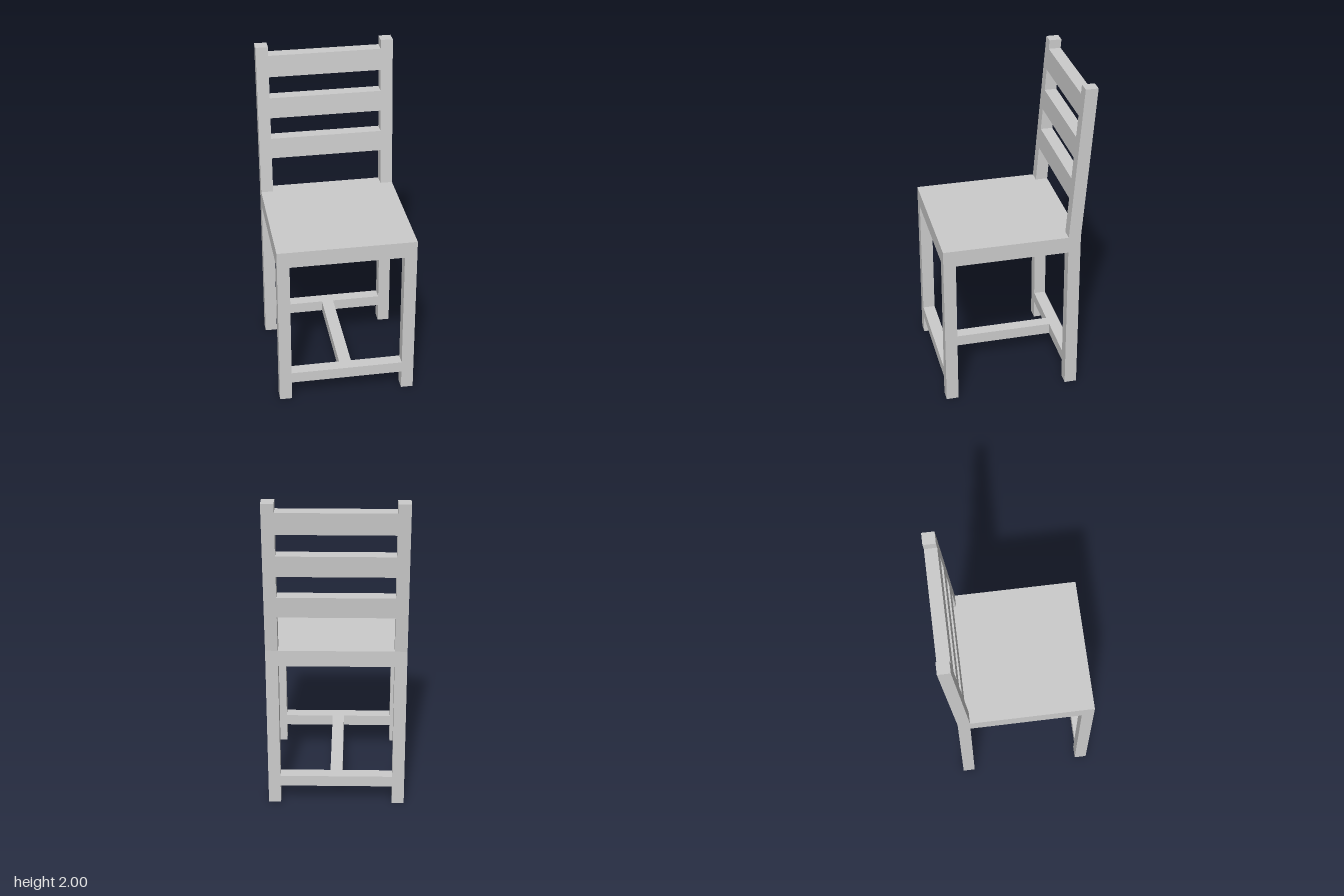
import * as THREE from 'three';

const W = 0.42, T = 0.075;            // half width, timber thickness
const FRONT = 0.454, BACK = -0.38;    // seat front and back edges
const SEAT_LOW = 0.953, SEAT_TOP = 1.055, TOP = 2;
const LEAN = (0.454 + BACK) / (TOP - SEAT_TOP);  // backward lean of the backrest

export function createModel() {
  const chair = new THREE.Group();
  chair.name = 'chair';
  const material = new THREE.MeshStandardMaterial({ color: 0xcccccc, flatShading: true });

  // Box given by its limits on each axis
  function bar(name, x0, x1, y0, y1, z0, z1, leaning = false) {
    const geo = new THREE.BoxGeometry(x1 - x0, y1 - y0, z1 - z0);
    geo.translate((x0 + x1) / 2, (y0 + y1) / 2, (z0 + z1) / 2);
    if (leaning) {
      // Shear backwards, keeping the ends horizontal
      const p = geo.attributes.position;
      for (let i = 0; i < p.count; i++) p.setZ(i, p.getZ(i) - (p.getY(i) - SEAT_TOP) * LEAN);
      geo.computeVertexNormals();
    }
    const mesh = new THREE.Mesh(geo, material);
    mesh.name = name;
    chair.add(mesh);
  }

  bar('seat', -W, W, SEAT_LOW, SEAT_TOP, BACK, FRONT);

  // Legs and backrest posts, mirrored left and right
  for (const [side, x0] of [['left', W - T], ['right', -W]]) {
    bar(side + 'FrontLeg', x0, x0 + T, 0, SEAT_LOW, FRONT - T, FRONT);
    bar(side + 'BackLeg', x0, x0 + T, 0, SEAT_LOW, BACK, BACK + T);
    bar(side + 'BackPost', x0, x0 + T, SEAT_TOP, TOP, BACK, BACK + T, true);
  }

  // Backrest slats, flush with the posts
  [[1.28, 1.41], [1.545, 1.675], [1.81, 1.945]].forEach(([y0, y1], i) =>
    bar('backSlat' + (i + 1), T - W, W - T, y0, y1, BACK, BACK + T, true));

  // H-shaped stretcher between the legs
  const y0 = 0.12, y1 = 0.19;
  bar('frontStretcher', T - W, W - T, y0, y1, FRONT - T, FRONT);
  bar('backStretcher', T - W, W - T, y0, y1, BACK, BACK + T);
  bar('middleStretcher', -T / 2, T / 2, y0, y1, BACK + T, FRONT - T);

  return chair;
}
